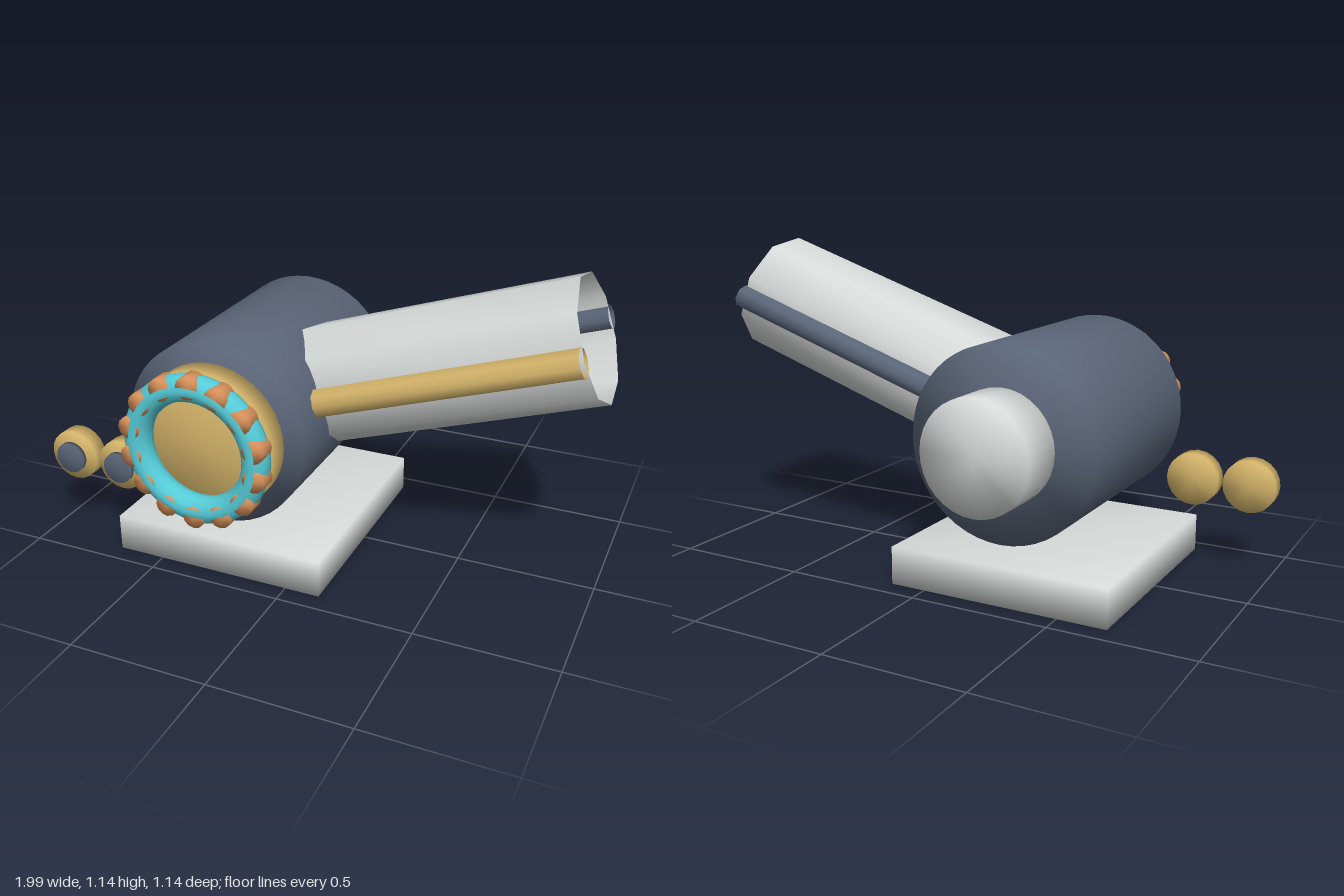
import * as THREE from 'three';
import { mergeVertices } from 'three/addons/utils/BufferGeometryUtils.js';

const mat = (name, color, side = THREE.FrontSide) =>
  Object.assign(new THREE.MeshStandardMaterial({ color, side }), { name });

// Weld corners so that shading runs softly over the edges
function soften(geometry) {
  geometry.deleteAttribute('normal');
  geometry.deleteAttribute('uv');
  const g = mergeVertices(geometry, 1e-4);
  g.computeVertexNormals();
  return g;
}

export function createModel() {
  const model = new THREE.Group();
  model.name = 'cannon';

  const slate = mat('slate', 0x5a6578, THREE.DoubleSide);
  const gold = mat('gold', 0xd4b46a, THREE.DoubleSide);
  const silver = mat('silver', 0xd5d9d8, THREE.DoubleSide);
  const cyan = mat('cyan', 0x55ccd8);
  const copper = mat('copper', 0xd8915a);

  const CX = -0.275, CY = 0.535; // hub of the drum

  function add(name, geometry, material, x, y, z, parent = model) {
    const mesh = new THREE.Mesh(geometry, material);
    mesh.name = name;
    mesh.position.set(x, y, z);
    parent.add(mesh);
    return mesh;
  }

  // Solid disc or drum lying along z, from z0 to z1
  function drum(name, material, x, y, r, z0, z1, sides = 32, parent = model) {
    const g = new THREE.CylinderGeometry(r, r, z1 - z0, sides).rotateX(Math.PI / 2);
    return add(name, soften(g), material, x, y, (z0 + z1) / 2, parent);
  }

  // Base slab
  add('base', soften(new THREE.BoxGeometry(0.805, 0.136, 0.855)), silver, -0.273, 0.068, 0.002);

  // Main drum with its rear plug and front plate
  drum('body', slate, CX, CY, 0.335, -0.388, 0.395, 48);
  drum('rearPlug', silver, CX, CY, 0.195, -0.568, -0.36, 32);
  drum('frontPlate', gold, CX, CY, 0.265, 0.38, 0.48, 40);

  // Front ring studded with short pegs
  const dial = new THREE.Group();
  dial.name = 'dial';
  dial.position.set(CX, CY, 0);
  model.add(dial);
  add('ring', new THREE.TorusGeometry(0.225, 0.049, 12, 40), cyan, 0, 0, 0.52, dial);
  const PEGS = 14;
  for (let i = 0; i < PEGS; i++) {
    const a = Math.PI / 2 + (i / PEGS) * Math.PI * 2;
    drum('peg', copper, Math.cos(a) * 0.239, Math.sin(a) * 0.239, 0.041, 0.5, 0.565, 12, dial);
  }

  // Raised barrel assembly, built along +y and tilted towards the left
  const gun = new THREE.Group();
  gun.name = 'barrelAssembly';
  gun.position.set(CX, CY, 0);
  gun.rotation.z = Math.atan2(1, 3) - Math.PI / 2;
  model.add(gun);
  const START = 0.15, END = 1.265;
  function pipe(name, material, r, z, sides) {
    const g = new THREE.CylinderGeometry(r, r, END - START, sides, 1, true);
    add(name, soften(g), material, 0, (START + END) / 2, z, gun);
  }
  pipe('barrel', silver, 0.222, 0, 9);
  pipe('frontRod', gold, 0.051, 0.229, 8);
  pipe('backRod', slate, 0.044, -0.22, 8);

  // Ball resting in the bore
  add('ball', new THREE.SphereGeometry(0.166, 14, 12), silver, 0, 0.965, 0.003, gun);

  // Two small wheels with floating hub discs
  for (const x of [-0.903, -0.695]) {
    drum('wheel', gold, x, 0.31, 0.096, 0.3, 0.362, 20);
    drum('wheelHub', slate, x, 0.31, 0.059, 0.372, 0.39, 20);
  }

  return model;
}
